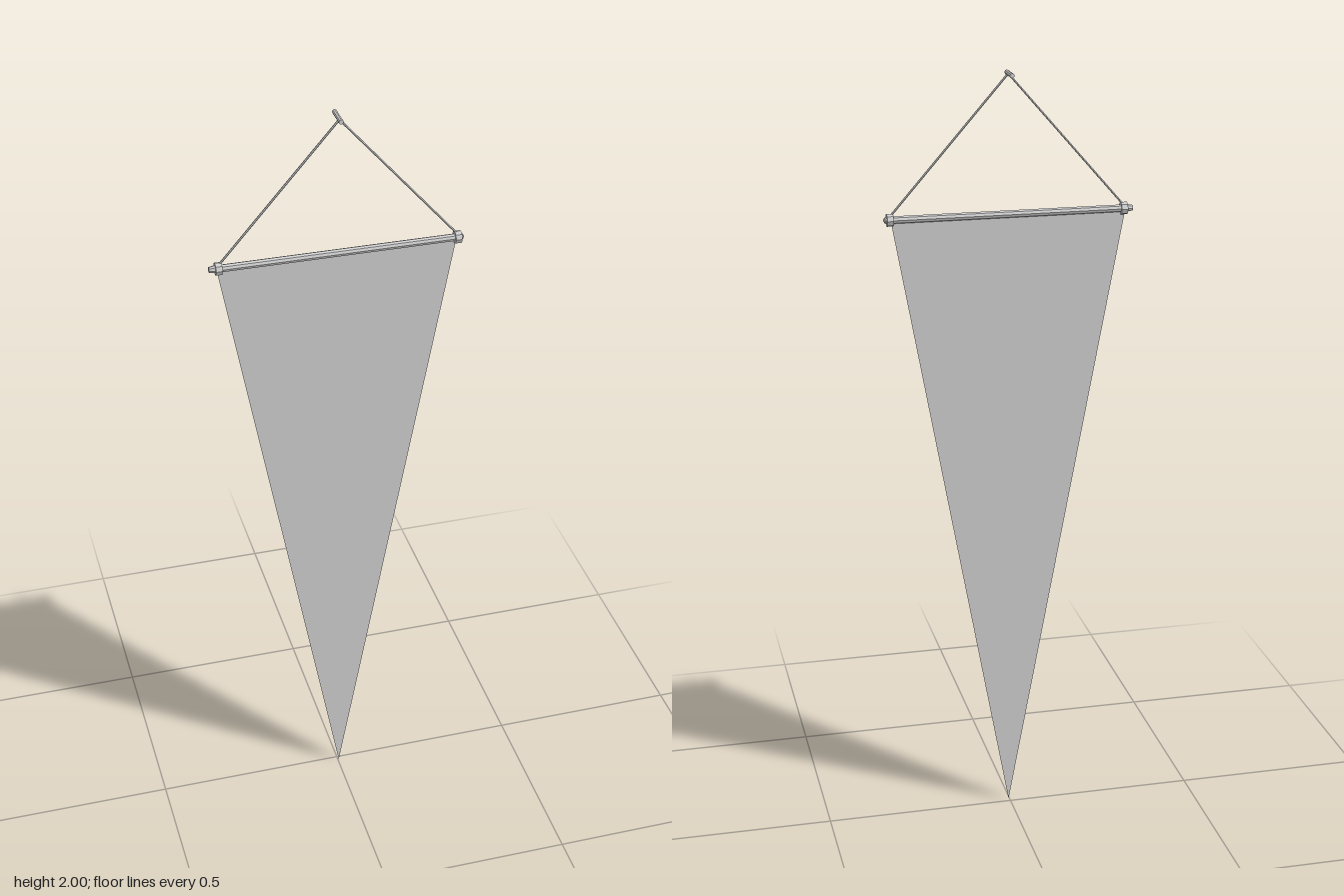
import * as THREE from 'three';

export function createModel() {
  const group = new THREE.Group();
  const Z = 0.011, ROD_Y = 1.645;
  const mat = new THREE.MeshStandardMaterial({ color: 0xcccccc, flatShading: true });
  const clothMat = new THREE.MeshStandardMaterial({ color: 0xcccccc, side: THREE.DoubleSide });

  const add = (name, geometry, material = mat) => {
    const mesh = new THREE.Mesh(geometry, material);
    mesh.name = name;
    group.add(mesh);
    return mesh;
  };

  // Cylinder running between two points
  const bar = (name, a, b, radius, sides) => {
    const dir = b.clone().sub(a);
    const mesh = add(name, new THREE.CylinderGeometry(radius, radius, dir.length(), sides));
    mesh.position.copy(a).add(b).multiplyScalar(0.5);
    mesh.quaternion.setFromUnitVectors(new THREE.Vector3(0, 1, 0), dir.normalize());
    return mesh;
  };
  const v = (x, y, z) => new THREE.Vector3(x, y, z);

  // Tapering cloth, a single thin triangle
  const shape = new THREE.Shape([
    new THREE.Vector2(-0.3, ROD_Y),
    new THREE.Vector2(0.003, 0),
    new THREE.Vector2(0.3, ROD_Y),
  ]);
  add('cloth', new THREE.ShapeGeometry(shape), clothMat).position.z = Z;

  // Cross rod with faceted, slightly tapered tips
  const rodProfile = [[0, -0.32], [0.007, -0.318], [0.0095, -0.306], [0.0095, 0.306], [0.007, 0.315], [0, 0.319]]
    .map(([r, y]) => new THREE.Vector2(r, y));
  const rod = add('crossRod', new THREE.LatheGeometry(rodProfile, 8));
  rod.rotation.z = -Math.PI / 2;
  rod.position.set(0, ROD_Y, Z);

  // Collars and hanging cords at both ends
  for (const [side, x] of [['right', -0.295], ['left', 0.302]]) {
    bar(side + 'Collar', v(x - 0.008, ROD_Y, Z), v(x + 0.008, ROD_Y, Z), 0.016, 8);
    bar(side + 'Cord', v(x, ROD_Y + 0.008, Z), v(0.003, 1.993, Z), 0.0028, 6);
  }

  // Peg the cords hang from
  bar('peg', v(0.003, 1.994, -0.032), v(0.003, 1.994, 0.028), 0.006, 8);

  return group;
}
